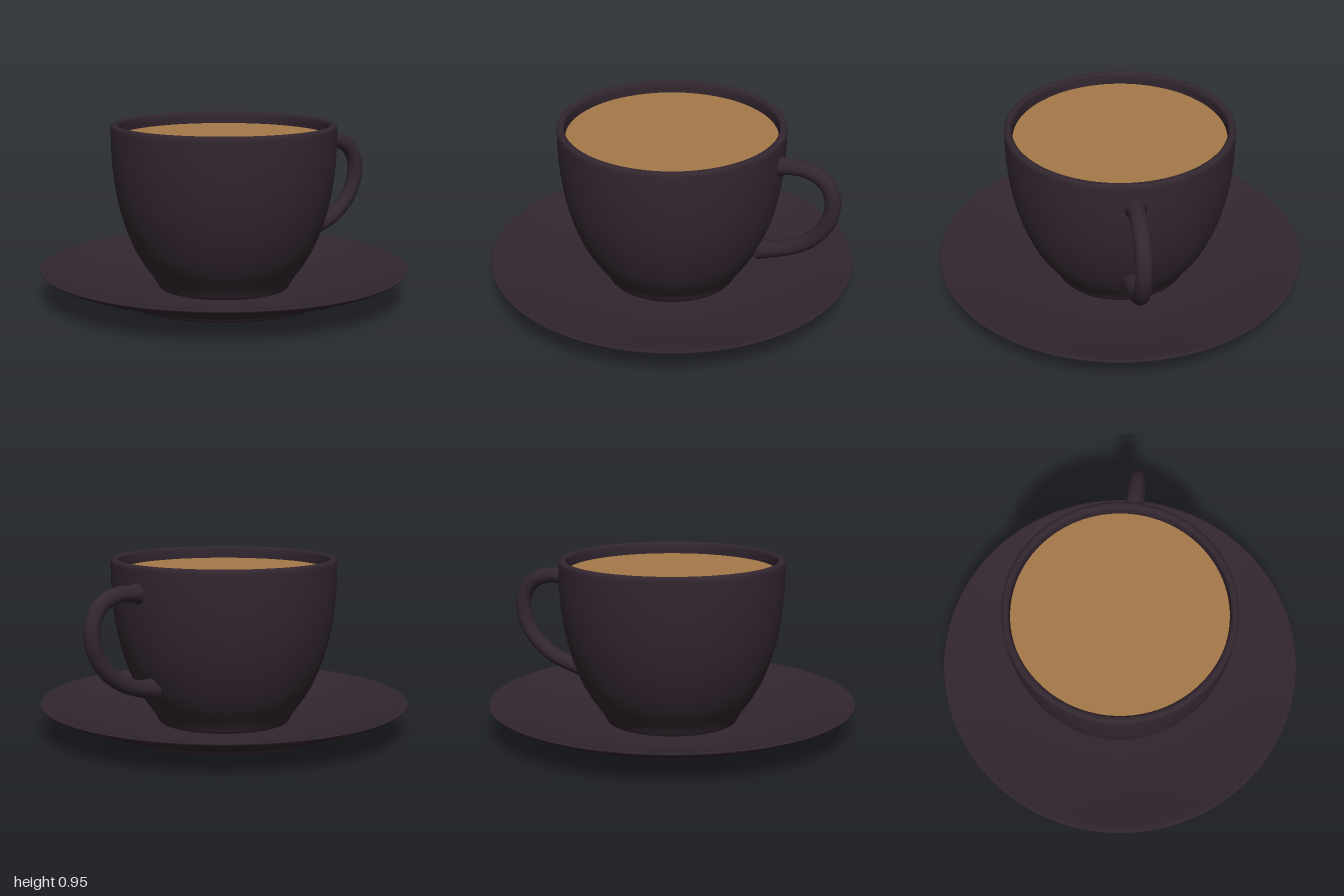
import * as THREE from 'three';

const vec2 = (pairs) => pairs.map(([x, y]) => new THREE.Vector2(x, y));
const smooth = (pairs, n) => new THREE.SplineCurve(vec2(pairs)).getPoints(n);

export function createModel() {
  const group = new THREE.Group();
  const ceramic = new THREE.MeshStandardMaterial({ color: 0x32262f });
  ceramic.name = 'darkCeramic';
  const coffee = new THREE.MeshStandardMaterial({ color: 0xa6784a });
  coffee.name = 'milkyCoffee';

  const add = (name, geometry, material) => {
    const mesh = new THREE.Mesh(geometry, material);
    mesh.name = name;
    group.add(mesh);
    return mesh;
  };

  // Saucer: recessed underside, foot ring, flared rim, dished top
  const saucer = [
    ...vec2([[0, 0.02], [0.5, 0.02], [0.53, 0.016], [0.545, 0.004], [0.555, 0], [0.578, 0], [0.587, 0.006]]),
    ...smooth([[0.592, 0.016], [0.605, 0.03], [0.635, 0.04], [0.72, 0.06], [0.82, 0.09], [0.91, 0.122], [0.97, 0.148], [0.992, 0.16]], 28),
    ...vec2([[1, 0.167], [0.998, 0.171], [0.99, 0.172]]),
    ...smooth([[0.97, 0.168], [0.86, 0.137], [0.72, 0.1], [0.58, 0.073], [0.46, 0.061], [0.4, 0.06]], 20),
    ...vec2([[0, 0.06]]),
  ];
  add('saucer', new THREE.LatheGeometry(saucer, 96), ceramic);

  // Cup: foot, bowed wall, rounded lip and inner wall
  const cup = [
    ...vec2([[0, 0.055], [0.345, 0.055], [0.358, 0.06]]),
    ...smooth([[0.365, 0.075], [0.385, 0.11], [0.425, 0.165], [0.455, 0.21], [0.495, 0.285], [0.54, 0.4], [0.575, 0.53], [0.597, 0.67], [0.607, 0.8], [0.609, 0.925]], 36),
    ...vec2([[0.608, 0.938], [0.603, 0.946], [0.594, 0.95], [0.582, 0.95], [0.573, 0.946], [0.568, 0.937]]),
    ...smooth([[0.567, 0.92], [0.563, 0.8], [0.54, 0.58], [0.47, 0.32], [0.36, 0.14]], 20),
    ...vec2([[0, 0.12]]),
  ];
  add('cup', new THREE.LatheGeometry(cup, 96), ceramic);

  // Drink surface just below the lip
  const drink = add('coffee', new THREE.CircleGeometry(0.566, 96), coffee);
  drink.rotation.x = -Math.PI / 2;
  drink.position.y = 0.885;

  // Handle: round tube that flares where it meets the wall
  const path = new THREE.CatmullRomCurve3(
    [[0.585, 0.806], [0.65, 0.811], [0.74, 0.81], [0.83, 0.775], [0.885, 0.7], [0.896, 0.62],
      [0.873, 0.525], [0.81, 0.431], [0.72, 0.361], [0.62, 0.318], [0.55, 0.303], [0.5, 0.297]]
      .map(([x, y]) => new THREE.Vector3(x, y, 0)));
  const rings = 72, sides = 20;
  const tube = new THREE.TubeGeometry(path, rings, 0.043, sides);
  const pos = tube.attributes.position;
  const v = new THREE.Vector3();
  for (let i = 0; i <= rings; i++) {
    const t = i / rings;
    const centre = path.getPointAt(t);
    const flare = 1 + 0.4 * Math.exp(-((t / 0.035) ** 2)) + 0.4 * Math.exp(-(((1 - t) / 0.06) ** 2));
    for (let j = 0; j <= sides; j++) {
      const k = i * (sides + 1) + j;
      v.fromBufferAttribute(pos, k).sub(centre).multiplyScalar(flare).add(centre);
      pos.setXYZ(k, v.x, v.y, v.z);
    }
  }
  add('handle', tube, ceramic);

  return group;
}
